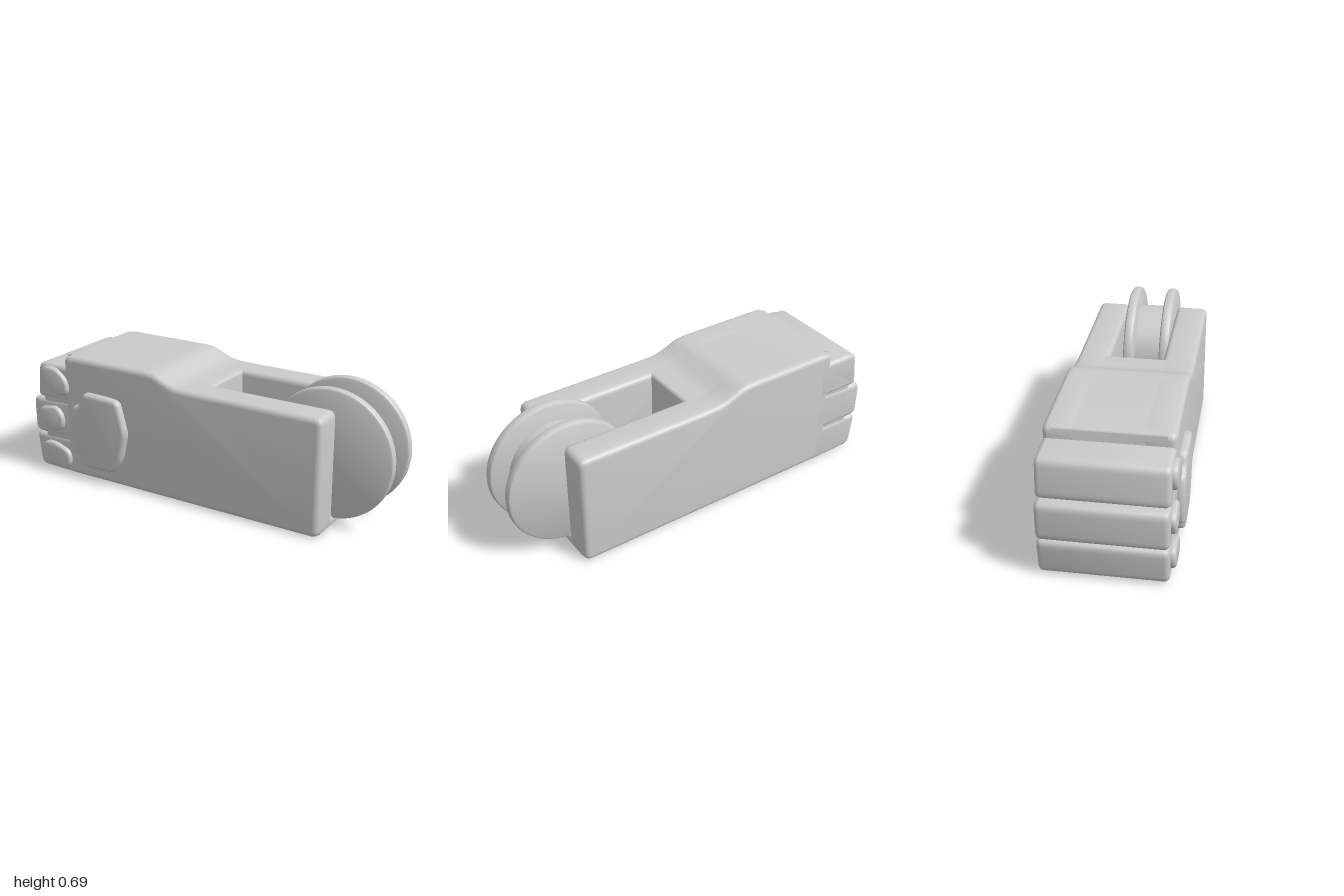
import * as THREE from 'three';
import { toCreasedNormals } from 'three/addons/utils/BufferGeometryUtils.js';

const material = new THREE.MeshStandardMaterial({ color: 0xcccccc });

// Closed outline with each corner rounded by a quadratic curve
function roundedShape(points, radius) {
  const pts = points.map(([x, y]) => new THREE.Vector2(x, y));
  const n = pts.length;
  const shape = new THREE.Shape();
  pts.forEach((p, i) => {
    const toward = (q) => {
      const d = q.clone().sub(p);
      return p.clone().add(d.setLength(Math.min(radius, d.length() * 0.48)));
    };
    const a = toward(pts[(i + n - 1) % n]);
    const b = toward(pts[(i + 1) % n]);
    if (i === 0) shape.moveTo(a.x, a.y);
    else shape.lineTo(a.x, a.y);
    shape.quadraticCurveTo(p.x, p.y, b.x, b.y);
  });
  shape.closePath();
  return shape;
}

// Outline in x/y extruded from z0 to z1 with softened rims
function slab(name, points, z0, z1, bevel, radius) {
  const geometry = new THREE.ExtrudeGeometry(roundedShape(points, radius), {
    depth: z1 - z0 - 2 * bevel,
    bevelEnabled: bevel > 0,
    bevelThickness: bevel,
    bevelSize: bevel,
    bevelOffset: -bevel,
    bevelSegments: 4,
    curveSegments: 5,
  });
  geometry.translate(0, 0, z0 + bevel);
  const mesh = new THREE.Mesh(toCreasedNormals(geometry, 0.7), material);
  mesh.name = name;
  return mesh;
}

// Disc or hub turned about the z axis
function turned(name, profile, x, y) {
  const geometry = new THREE.LatheGeometry(profile.map(([r, z]) => new THREE.Vector2(r, z)), 64);
  geometry.rotateX(Math.PI / 2);
  geometry.translate(x, y, 0);
  const mesh = new THREE.Mesh(toCreasedNormals(geometry, 0.5), material);
  mesh.name = name;
  return mesh;
}

export function createModel() {
  const model = new THREE.Group();
  model.name = 'pawTapeDispenser';

  // Body: two long side walls, raised at the wrist end
  const back = -0.315, front = 0.28, slotBack = -0.155, slotFront = 0.115;
  const top = [
    [0.05, 0.6], [-0.05, 0.602], [-0.1, 0.61], [-0.15, 0.63],
    [-0.2, 0.653], [-0.25, 0.66], [-0.775, 0.66],
  ];
  const wall = [[-0.775, 0.003], [0.715, 0.003], [0.715, 0.6], ...top];
  model.add(slab('backWall', wall, back, slotBack, 0.026, 0.04));
  model.add(slab('frontWall', wall, slotFront, front, 0.026, 0.04));

  // Core joining the walls, cut away for the roll slot
  const core = [[-0.774, 0.004], [0.712, 0.004], [0.712, 0.055], [0.05, 0.055], ...top];
  model.add(slab('core', core, back + 0.04, front - 0.04, 0, 0.02));

  // Toe backing and three toes
  const toes = new THREE.Group();
  toes.name = 'toes';
  const backing = [[-0.93, 0.02], [-0.7, 0.004], [-0.7, 0.59], [-0.93, 0.58]];
  toes.add(slab('toeBacking', backing, back + 0.005, front - 0.005, 0.02, 0.03));
  [
    [[-0.972, 0.008], [-0.7, 0.003], [-0.7, 0.205], [-0.93, 0.198], [-0.995, 0.2]],
    [[-0.998, 0.205], [-0.93, 0.2], [-0.7, 0.2], [-0.7, 0.41], [-0.93, 0.4], [-1, 0.4]],
    [[-0.968, 0.41], [-0.93, 0.404], [-0.7, 0.4], [-0.7, 0.6], [-0.948, 0.6]],
  ].forEach((outline) => toes.add(slab('toe', outline, back, front - 0.002, 0.024, 0.04)));
  model.add(toes);

  // Soft pads on the front face
  const pads = new THREE.Group();
  pads.name = 'pads';
  const palm = [
    [-0.65, 0.07], [-0.45, 0.08], [-0.4, 0.16], [-0.365, 0.31], [-0.41, 0.48], [-0.5, 0.487],
    [-0.635, 0.49], [-0.66, 0.42], [-0.71, 0.405], [-0.728, 0.32], [-0.725, 0.22],
    [-0.705, 0.14], [-0.66, 0.135],
  ];
  pads.add(slab('palmPad', palm, 0.25, 0.315, 0.022, 0.03));
  [
    [[-0.93, 0.55], [-0.9, 0.59], [-0.82, 0.588], [-0.75, 0.53], [-0.74, 0.46], [-0.79, 0.437], [-0.88, 0.45], [-0.92, 0.49]],
    [[-0.955, 0.31], [-0.94, 0.355], [-0.83, 0.375], [-0.785, 0.33], [-0.785, 0.265], [-0.82, 0.235], [-0.92, 0.24]],
    [[-0.94, 0.12], [-0.92, 0.165], [-0.85, 0.168], [-0.75, 0.13], [-0.745, 0.06], [-0.78, 0.03], [-0.88, 0.035], [-0.92, 0.06]],
  ].forEach((outline) => pads.add(slab('toePad', outline, 0.25, 0.302, 0.016, 0.035)));
  model.add(pads);

  // Tape reel: two flanges on a narrower hub
  const reel = new THREE.Group();
  reel.name = 'reel';
  const cx = 0.672, cy = 0.362, r = 0.327;
  for (const [z0, z1] of [[-0.142, -0.088], [0.052, 0.106]]) {
    reel.add(turned('flange', [
      [0, z0], [r - 0.015, z0], [r - 0.004, z0 + 0.006], [r, z0 + 0.015],
      [r, z1 - 0.015], [r - 0.004, z1 - 0.006], [r - 0.015, z1], [0, z1],
    ], cx, cy));
  }
  reel.add(turned('hub', [[0, -0.1], [0.233, -0.1], [0.233, 0.06], [0, 0.06]], cx - 0.005, cy - 0.004));
  model.add(reel);

  return model;
}
